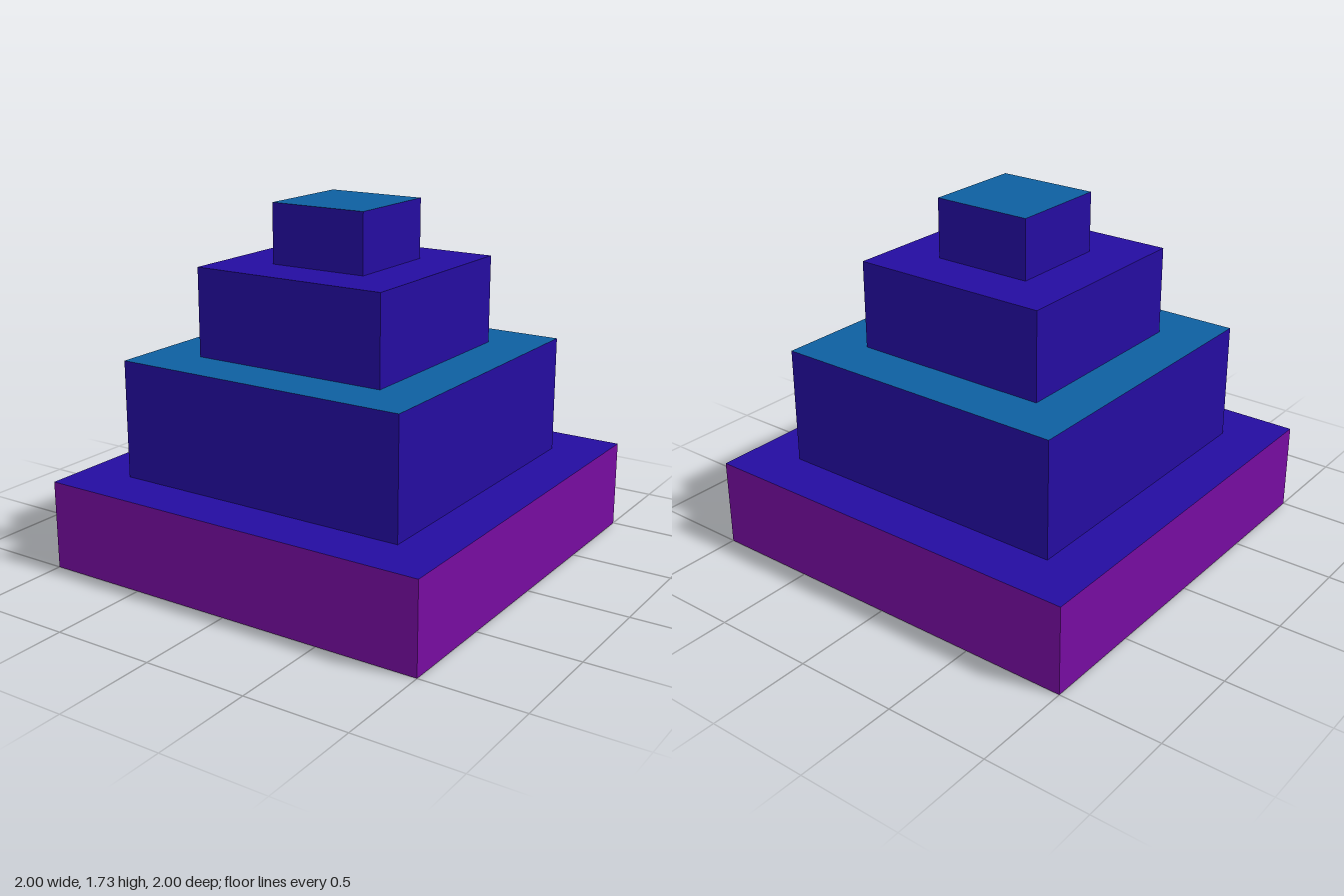
import * as THREE from 'three';

const material = (name, color) => {
  const m = new THREE.MeshStandardMaterial({ color });
  m.name = name;
  return m;
};

export function createModel() {
  const purple = material('purple', 0x760ca0);
  const indigo = material('indigo', 0x240ca0);
  const teal = material('teal', 0x0d5fa0);

  // Square tiers from the ground up, each with a side and a top colour
  const tiers = [
    { name: 'baseTier', width: 2, bottom: 0, top: 0.435, side: purple, cap: indigo },
    { name: 'lowerTier', width: 1.5, bottom: 0.435, top: 1.01, side: indigo, cap: teal },
    { name: 'upperTier', width: 1, bottom: 1.01, top: 1.44, side: indigo, cap: indigo },
    { name: 'topTier', width: 0.5, bottom: 1.44, top: 1.73, side: indigo, cap: teal },
  ];

  const model = new THREE.Group();
  model.name = 'steppedPyramid';
  for (const { name, width, bottom, top, side, cap } of tiers) {
    // Box faces in order: +x, -x, +y, -y, +z, -z
    const tier = new THREE.Mesh(
      new THREE.BoxGeometry(width, top - bottom, width),
      [side, side, cap, side, side, side],
    );
    tier.name = name;
    tier.position.y = (bottom + top) / 2;
    model.add(tier);
  }
  return model;
}
